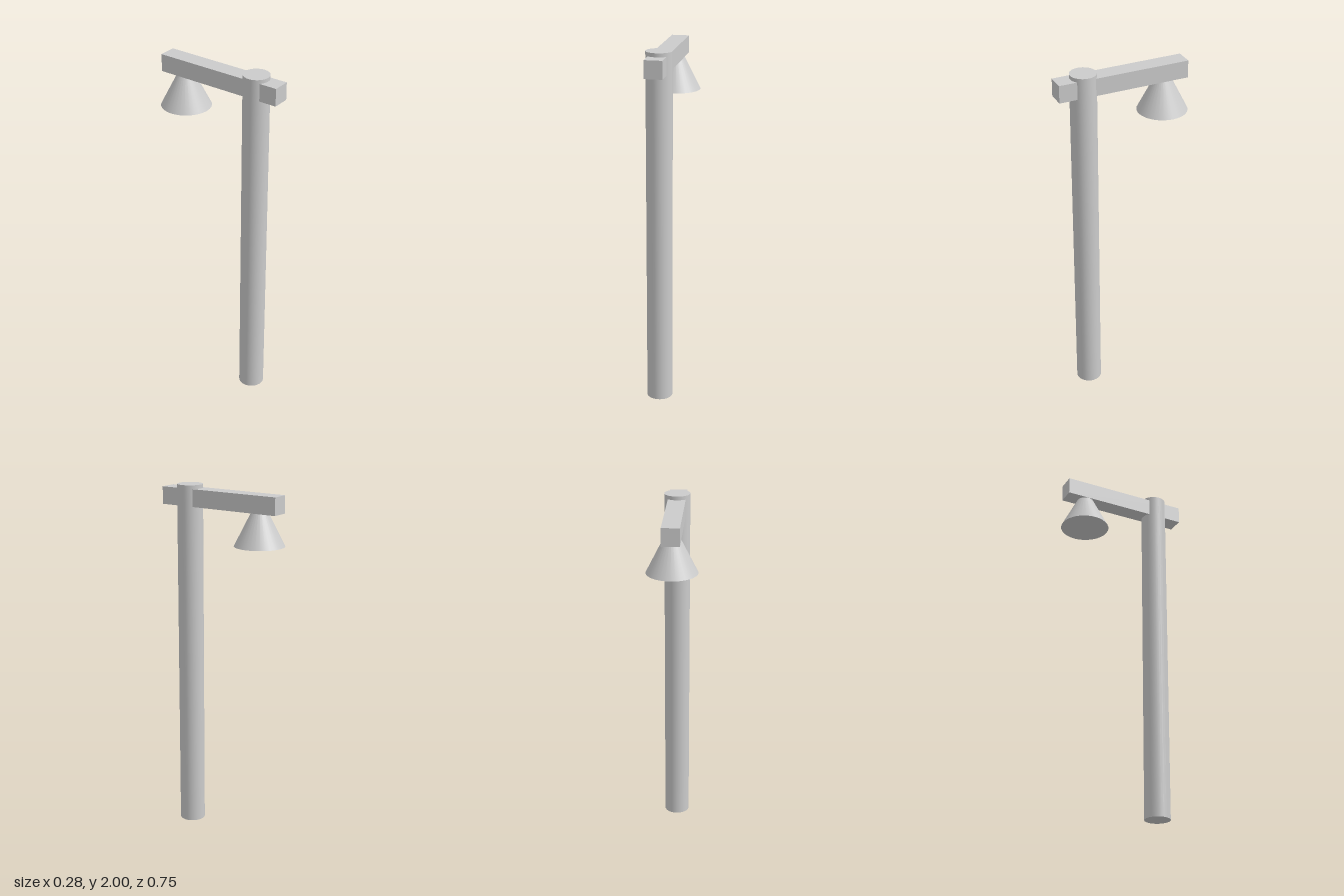
import * as THREE from 'three';

export function createModel() {
  const group = new THREE.Group();
  const material = new THREE.MeshStandardMaterial({ color: 0xcccccc });

  const add = (name, geometry, y, z) => {
    const mesh = new THREE.Mesh(geometry, material);
    mesh.name = name;
    mesh.position.set(0, y, z);
    group.add(mesh);
  };

  // Upright round post
  add('post', new THREE.CylinderGeometry(0.072, 0.072, 2, 32), 1, 0.222);

  // Square arm running through the post, overhanging to the back
  add('arm', new THREE.BoxGeometry(0.098, 0.098, 0.738), 1.93, 0.006);

  // Conical lamp shade, its tip buried in the arm
  add('lampShade', new THREE.ConeGeometry(0.139, 0.275, 32), 1.8375, -0.237);

  return group;
}
